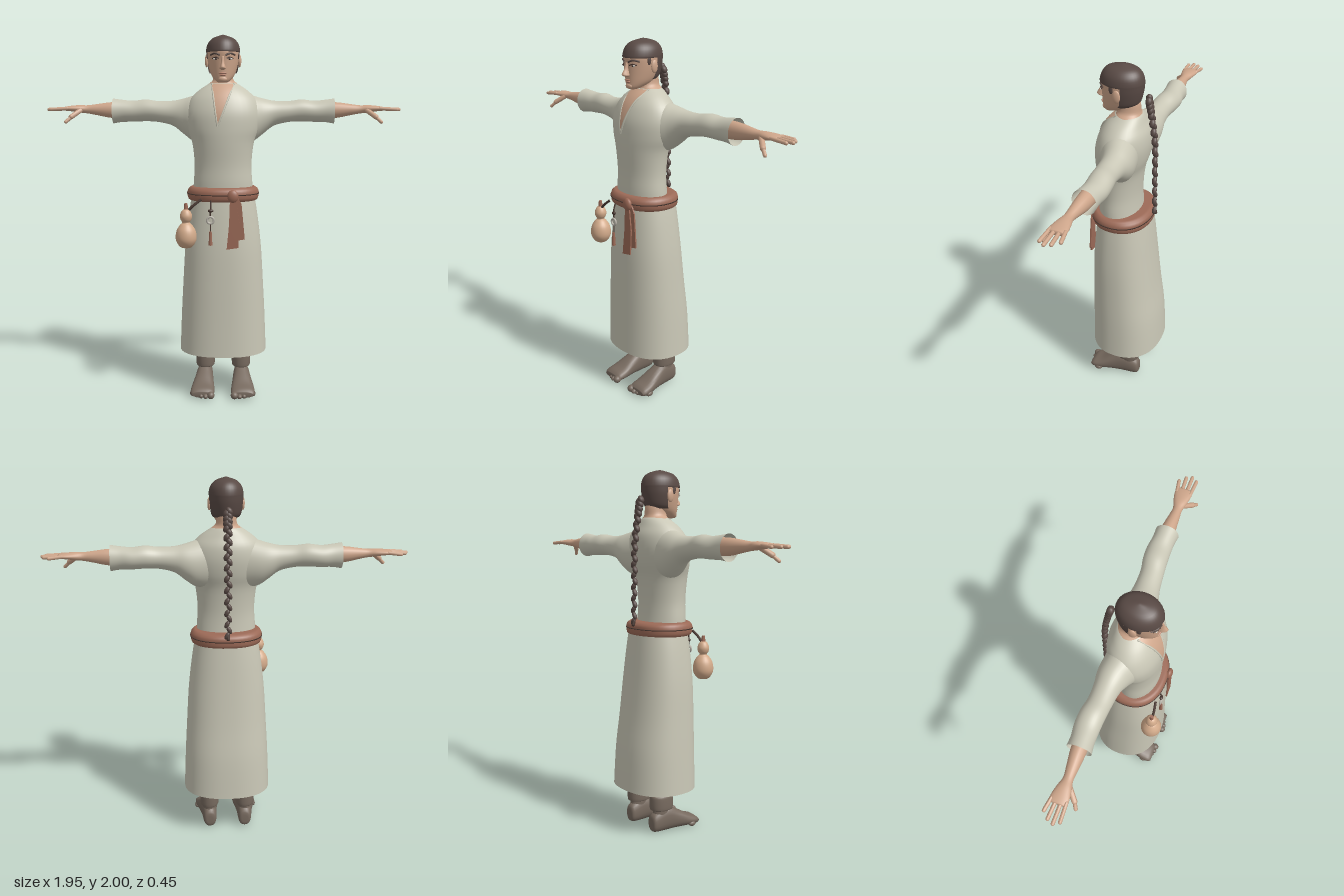
import * as THREE from 'three';

const mat = (name, hex, both) => {
  const m = new THREE.MeshStandardMaterial({ color: hex });
  m.name = name;
  if (both) m.side = THREE.DoubleSide;
  return m;
};
const V = (x, y, z) => new THREE.Vector3(x, y, z);

// Smoothly resample sections [t, a0, a1, b0, b1]
function resample(secs, steps) {
  const rows = [], n = secs.length - 1;
  for (let i = 0; i < n; i++) for (let k = 0; k < steps; k++) {
    const f = k / steps, g = j => secs[Math.max(0, Math.min(n, j))];
    rows.push(secs[i].map((p1, c) => {
      const p0 = g(i - 1)[c], p2 = g(i + 1)[c], p3 = g(i + 2)[c];
      if (steps === 1) return p1;
      return p1 + 0.5 * f * (p2 - p0 + f * (2 * p0 - 5 * p1 + 4 * p2 - p3 + f * (3 * (p1 - p2) + p3 - p0)));
    }));
  }
  rows.push(secs[n]);
  return rows;
}

// Skin superellipse cross-sections along an axis
const AXES = { y: (t, a, b) => [a, t, b], x: (t, a, b) => [t, b, a], z: (t, a, b) => [b, a, t] };
function loft(secs, { axis = 'y', steps = 4, n = 36, p = 2, cap = true, arc = null } = {}) {
  const rows = resample(secs, steps), pos = [], idx = [], to = AXES[axis];
  const w = v => Math.sign(v) * Math.pow(Math.abs(v), 2 / p);
  const cols = arc ? n + 1 : n;
  for (const [t, a0, a1, b0, b1] of rows) for (let j = 0; j < cols; j++) {
    const th = arc ? arc[0] + (arc[1] - arc[0]) * j / n : j / n * Math.PI * 2;
    pos.push(...to(t, (a0 + a1) / 2 + (a1 - a0) / 2 * w(Math.cos(th)), (b0 + b1) / 2 + (b1 - b0) / 2 * w(Math.sin(th))));
  }
  for (let i = 0; i < rows.length - 1; i++) for (let j = 0; j < n; j++) {
    const q = i * cols + j, r = i * cols + (j + 1) % cols;
    idx.push(q, q + cols, r, r, q + cols, r + cols);
  }
  if (cap && !arc) for (const e of [0, rows.length - 1]) {
    const [t, a0, a1, b0, b1] = rows[e], c = pos.length / 3;
    pos.push(...to(t, (a0 + a1) / 2, (b0 + b1) / 2));
    for (let j = 0; j < n; j++) {
      const q = e * n + j, r = e * n + (j + 1) % n;
      if (e) idx.push(q, c, r); else idx.push(q, r, c);
    }
  }
  const g = new THREE.BufferGeometry();
  g.setAttribute('position', new THREE.Float32BufferAttribute(pos, 3));
  g.setIndex(idx);
  g.computeVertexNormals();
  return g;
}

// Front depth of a vertical loft at a given x, y
function frontZ(secs, x, y, steps = 4) {
  const rows = resample(secs, steps);
  let i = 0;
  while (i < rows.length - 2 && rows[i + 1][0] < y) i++;
  const f = (y - rows[i][0]) / (rows[i + 1][0] - rows[i][0]);
  const [, , a, b0, b1] = rows[i].map((v, c) => v + (rows[i + 1][c] - v) * f);
  return (b0 + b1) / 2 + (b1 - b0) / 2 * Math.sqrt(Math.max(0, 1 - (x / a) ** 2));
}

const sym = list => list.map(([y, r, zb, zf]) => [y, -r, r, zb, zf]);
const ball = (x, y, z, rx, ry, rz) => new THREE.SphereGeometry(1, 18, 12).scale(rx, ry, rz).translate(x, y, z);
const tube = (pts, r, n = 16) => new THREE.TubeGeometry(new THREE.CatmullRomCurve3(pts), n, r, 8);
function capsule(a, b, r) {
  const d = b.clone().sub(a), g = new THREE.CapsuleGeometry(r, d.length(), 5, 10);
  g.applyQuaternion(new THREE.Quaternion().setFromUnitVectors(V(0, 1, 0), d.normalize()));
  const m = a.clone().add(b).multiplyScalar(0.5);
  return g.translate(m.x, m.y, m.z);
}
function mirrored(geo) {
  const g = geo.clone().scale(-1, 1, 1), a = g.index.array;
  for (let i = 0; i < a.length; i += 3) [a[i], a[i + 1]] = [a[i + 1], a[i]];
  g.computeVertexNormals();
  return g;
}

export function createModel() {
  const root = new THREE.Group();
  const cloth = mat('cream cloth', 0xc9c7b6, true), skin = mat('skin', 0xcda58a), hair = mat('dark brown hair', 0x594a45, true);
  const leather = mat('red brown sash', 0x9c6a57, true), shoe = mat('grey brown footwear', 0x776a5f), gourd = mat('gourd tan', 0xd2aa8a);
  const dark = mat('dark cord', 0x4b3a33), lip = mat('lips', 0xb5826d), metal = mat('pale ring', 0xb9b4aa), white = mat('eye white', 0xd8d2c8);
  const add = (name, geo, m) => {
    const mesh = new THREE.Mesh(geo, m);
    mesh.name = name;
    root.add(mesh);
  };
  const pair = (name, geo, m) => {
    add('left ' + name, geo, m);
    add('right ' + name, mirrored(geo), m);
  };

  // Tunic body and open neckline
  const torso = sym([[1.1, .165, -.09, .14], [1.2, .162, -.08, .145], [1.3, .156, -.078, .145], [1.42, .168, -.09, .154],
    [1.5, .195, -.113, .157], [1.58, .205, -.125, .152], [1.65, .185, -.12, .13], [1.7, .14, -.1, .1], [1.735, .09, -.085, .066], [1.747, .07, -.075, .05]]);
  add('tunic body', loft(torso), cloth);
  const neckline = new THREE.PlaneGeometry(1, 1, 8, 24), np = neckline.attributes.position;
  for (let i = 0; i < np.count; i++) {
    const f = np.getY(i) + .5, y = 1.512 + f * .23, x = -.028 * (1 - f) + np.getX(i) * f * .12;
    np.setXYZ(i, x, y, frontZ(torso, x, y) + .004);
  }
  neckline.computeVertexNormals();
  add('open neckline', neckline, skin);
  for (const s of [-1, 1]) {
    const pts = [0, .25, .5, .75, 1].map(f => {
      const x = -.028 * (1 - f) + s * f * .06, y = 1.512 + f * .23;
      return V(x, y, frontZ(torso, x, y) + .002);
    });
    add('collar edge', tube(pts, .005), cloth);
  }

  // Sleeves
  pair('sleeve', loft([[.09, -.1, .085, 1.42, 1.695], [.165, -.112, .08, 1.43, 1.677], [.22, -.112, .052, 1.468, 1.662], [.28, -.102, .03, 1.513, 1.65],
    [.36, -.1, .02, 1.533, 1.648], [.43, -.112, .014, 1.537, 1.657], [.5, -.115, .01, 1.534, 1.65], [.56, -.107, .01, 1.533, 1.655], [.612, -.108, .016, 1.525, 1.662]],
  { axis: 'x', cap: false }), cloth);

  // Forearms and hands
  pair('forearm and palm', loft([[.5, -.09, -.005, 1.55, 1.645], [.62, -.085, -.008, 1.555, 1.642], [.7, -.073, -.013, 1.57, 1.632], [.755, -.066, -.016, 1.58, 1.625],
    [.8, -.078, -.006, 1.585, 1.626], [.85, -.088, .002, 1.592, 1.622], [.88, -.085, 0, 1.595, 1.617]], { axis: 'x', n: 20 }), skin);
  [[-.079, .925, -.09], [-.055, .955, -.06], [-.03, .967, -.03], [-.007, .95, -.002]].forEach(([z, x, z1], i) =>
    pair('finger ' + (i + 1), capsule(V(.86, 1.608, z), V(x, 1.602, z1), .0095), skin));
  pair('thumb base', capsule(V(.79, 1.598, -.02), V(.835, 1.562, .018), .014), skin);
  pair('thumb tip', capsule(V(.83, 1.565, .015), V(.862, 1.535, .033), .0095), skin);

  // Neck and head
  add('neck', loft(sym([[1.7, .1, -.085, .06], [1.735, .086, -.08, .056], [1.76, .058, -.072, .052], [1.8, .052, -.07, .055], [1.84, .05, -.06, .05]])), skin);
  const head = sym([[1.745, .022, .075, .115], [1.757, .04, .03, .126], [1.785, .062, -.03, .128], [1.825, .076, -.064, .13], [1.87, .085, -.08, .133],
    [1.91, .087, -.084, .137], [1.95, .079, -.076, .125], [1.98, .053, -.05, .098], [1.995, .015, -.005, .05]]);
  add('head', loft(head), skin);
  const grow = d => ([y, a, b, c, e]) => [y, a - d, b + d, c - d, e + d];
  add('hair crown', loft([[1.907, -.083, .083, -.08, .133], ...head.slice(5).map(grow(.005)), [2, -.004, .004, .018, .028]]), hair);
  add('hair back', loft([[1.795, -.068, .068, -.045, .128], [1.815, -.077, .077, -.066, .13], ...head.slice(4, 6)].map(grow(.005)),
    { arc: [Math.PI + .2, Math.PI * 2 - .2] }), hair);
  pair('sideburn', ball(.083, 1.895, .052, .006, .025, .012), hair);
  pair('ear', ball(.089, 1.862, .022, .01, .034, .021).rotateY(0), skin);

  // Face
  add('nose', loft(sym([[1.81, .007, .12, .142], [1.817, .017, .115, .16], [1.826, .015, .11, .164], [1.85, .009, .11, .15], [1.882, .008, .11, .139]]), { n: 16 }), skin);
  const onFace = (x, y, d = 0) => V(x, y, frontZ(head, x, y) + d);
  const face = (name, x, y, rx, ry, m, d = 0) => {
    const c = onFace(x, y, d);
    pair(name, ball(c.x, c.y, c.z, rx, ry, .005), m);
  };
  face('eye', .037, 1.868, .015, .006, white);
  face('iris', .036, 1.868, .006, .006, dark, .002);
  pair('eyelid', tube([onFace(.02, 1.869, .003), onFace(.036, 1.876, .003), onFace(.055, 1.87, .003)], .003), dark);
  pair('eyebrow', tube([onFace(.014, 1.886, .002), onFace(.04, 1.896, .002), onFace(.065, 1.889, .002)], .005), hair);
  add('upper lip', ball(0, 1.793, .128, .023, .005, .008), lip);
  add('lower lip', ball(0, 1.784, .127, .018, .006, .008), lip);
  add('chin', ball(0, 1.762, .118, .024, .016, .014), skin);

  // Long braid of overlapping strands
  const braid = new THREE.CatmullRomCurve3([V(0, 1.84, -.115), V(0, 1.76, -.13), V(0, 1.6, -.152), V(0, 1.4, -.156), V(0, 1.19, -.16)]);
  for (let i = 0; i < 28; i++) {
    const q = braid.getPoint(i / 27), s = i % 2 ? 1 : -1, r = 1 - i / 90;
    const g = new THREE.SphereGeometry(1, 12, 8).scale(.017 * r, .023, .018 * r).rotateZ(s * .5).translate(s * .008 * r, q.y, q.z);
    add('braid strand', g, hair);
  }
  add('braid tip', capsule(V(0, 1.19, -.16), V(0, 1.172, -.165), .01), dark);

  // Skirt
  add('skirt', loft(sym([[.245, .245, -.225, .183], [.46, .236, -.212, .18], [.65, .225, -.187, .178], [.85, .212, -.165, .174], [1.02, .192, -.148, .162], [1.14, .172, -.135, .15]]),
    { cap: false, p: 2.3, n: 48 }), cloth);

  // Belt and hanging sash
  add('belt', loft(sym([[1.108, .178, -.13, .16], [1.115, .192, -.145, .176], [1.143, .198, -.148, .182], [1.17, .192, -.145, .178], [1.184, .172, -.12, .158]]), { steps: 2, p: 2.2, n: 48 }), leather);
  add('belt wrap line', loft(sym([[1.144, .2, -.15, .184], [1.149, .2, -.15, .184]]), { steps: 1, p: 2.2, n: 48 }), dark);
  add('sash knot', ball(.055, 1.143, .182, .03, .035, .018), leather);
  const strip = (name, pts, z, tilt) => {
    const g = new THREE.ExtrudeGeometry(new THREE.Shape(pts.map(([x, y]) => new THREE.Vector2(x, y))), { depth: .008, bevelEnabled: false });
    const p = g.attributes.position;
    for (let i = 0; i < p.count; i++) p.setZ(i, p.getZ(i) + z + (1.13 - p.getY(i)) * tilt);
    g.computeVertexNormals();
    add(name, g, leather);
  };
  strip('sash end front', [[.04, 1.14], [.035, .99], [.022, .855], [.085, .865], [.09, 1], [.07, 1.14]], .178, .02);
  strip('sash end back', [[.05, 1.14], [.06, .9], [.12, .91], [.102, 1.1], [.08, 1.14]], .168, .02);

  // Gourd bottle on its cord
  const profile = [[0, .86], [.03, .866], [.052, .895], [.057, .925], [.05, .96], [.032, .988], [.02, 1.0], [.029, 1.016], [.033, 1.037], [.025, 1.06], [.013, 1.072], [0, 1.074]];
  const body = new THREE.SplineCurve(profile.map(([x, y]) => new THREE.Vector2(x, y))).getPoints(40).map(p => new THREE.Vector2(Math.max(0, p.x), p.y));
  add('gourd', new THREE.LatheGeometry(body, 28).translate(-.197, 0, .172), gourd);
  add('gourd stopper', new THREE.CylinderGeometry(.009, .012, .036, 12).translate(-.197, 1.086, .172), leather);
  add('gourd cord', tube([V(-.185, 1.065, .172), V(-.16, 1.09, .172), V(-.115, 1.125, .165)], .007), dark);

  // Ring charm with tassel
  add('charm cord', tube([V(-.062, 1.12, .172), V(-.064, 1.08, .182), V(-.065, 1.035, .18)], .004), dark);
  add('charm bead', ball(-.064, 1.065, .181, .015, .009, .009), dark);
  add('charm ring', new THREE.TorusGeometry(.018, .006, 8, 24).translate(-.065, 1.014, .182), metal);
  add('tassel cord', tube([V(-.065, .995, .182), V(-.065, .97, .182), V(-.065, .95, .182)], .003), dark);
  add('tassel', new THREE.CylinderGeometry(.007, .011, .075, 10).translate(-.065, .915, .184), leather);

  // Legs, ankle wraps and feet
  pair('leg', loft([[.08, .065, .142, -.105, .01], [.2, .065, .142, -.105, .008], [.3, .06, .15, -.115, .01], [.5, .05, .16, -.11, .03], [.7, .04, .16, -.1, .05]], { n: 24 }), shoe);
  pair('ankle wrap', loft([[.13, .058, .148, -.11, .012], [.138, .05, .156, -.12, .02], [.2, .05, .156, -.12, .02], [.213, .056, .15, -.114, .014]], { n: 24, p: 2.2 }), shoe);
  pair('upper wrap', loft([[.215, .056, .15, -.108, .012], [.225, .052, .153, -.112, .016], [.25, .054, .153, -.112, .014]], { n: 24 }), shoe);
  pair('foot', loft([[-.122, .03, .075, .085, .12], [-.108, .006, .11, .066, .138], [-.03, .001, .145, .06, .15], [.04, .002, .115, .054, .163], [.11, .002, .075, .047, .178],
    [.155, .004, .058, .048, .18], [.175, .012, .042, .06, .17]], { axis: 'z', n: 24, p: 2.3 }), shoe);
  for (let i = 0; i < 5; i++) {
    const r = i ? .015 : .021;
    pair('toe ' + (i + 1), ball(.066 + i * .025 + (i ? .004 : 0), r + .003, .172 - i * i * .003, r, r, .024), shoe);
  }
  return root;
}
